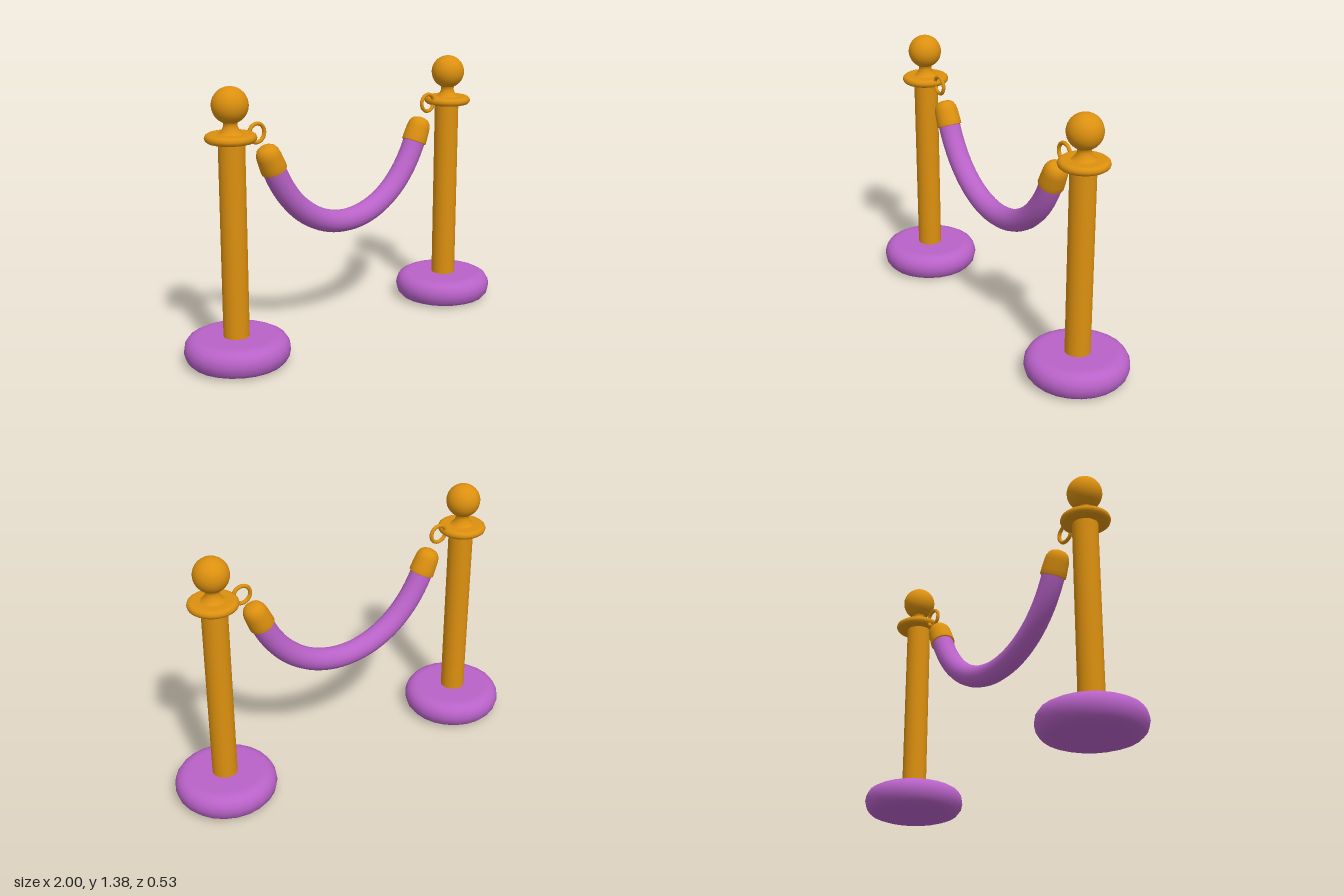
import * as THREE from 'three';

const gold = new THREE.MeshStandardMaterial({ name: 'gold', color: 0xdc900f });
const purple = new THREE.MeshStandardMaterial({ name: 'purple velvet', color: 0xb962c8 });

// Surface of revolution from [radius, height] pairs, bottom to top
const lathe = (pairs, sides) =>
  new THREE.LatheGeometry(pairs.map(([r, y]) => new THREE.Vector2(r, y)), sides);

function part(parent, name, geometry, material, x = 0, y = 0) {
  const mesh = new THREE.Mesh(geometry, material);
  mesh.name = name;
  mesh.position.set(x, y, 0);
  parent.add(mesh);
  return mesh;
}

export function createModel() {
  const model = new THREE.Group();
  model.name = 'ropeBarrier';

  // Rounded foot with flat top and bottom
  const baseGeo = lathe([
    [0, 0], [0.19, 0], [0.21, 0.002], [0.238, 0.013], [0.257, 0.036], [0.265, 0.07],
    [0.26, 0.1], [0.245, 0.124], [0.222, 0.137], [0.2, 0.141], [0.18, 0.142], [0, 0.142],
  ], 24);
  const postGeo = new THREE.CylinderGeometry(0.065, 0.065, 1.0, 24, 1, true);
  // Rounded disc below the finial
  const collarGeo = lathe([
    [0, 1.116], [0.1, 1.116], [0.113, 1.118], [0.122, 1.125], [0.126, 1.137],
    [0.122, 1.149], [0.113, 1.156], [0.1, 1.158], [0, 1.158],
  ], 28);
  // Flared neck under the ball
  const neckGeo = lathe([
    [0.068, 1.154], [0.053, 1.163], [0.041, 1.178], [0.034, 1.195], [0.035, 1.21], [0.045, 1.225],
  ], 24);
  const ballGeo = new THREE.SphereGeometry(0.089, 28, 18);
  const ringGeo = new THREE.TorusGeometry(0.046, 0.01, 10, 24);
  // Tapered, round-nosed rope end
  const capGeo = lathe([
    [0, 0], [0.063, 0], [0.067, 0.003], [0.066, 0.03], [0.063, 0.08], [0.059, 0.103],
    [0.049, 0.122], [0.035, 0.133], [0.018, 0.138], [0, 0.139],
  ], 20);

  for (const side of [-1, 1]) {
    const stanchion = new THREE.Group();
    stanchion.name = side > 0 ? 'leftStanchion' : 'rightStanchion';
    const x = side * 0.743;
    part(stanchion, 'base', baseGeo, purple, side * 0.735);
    part(stanchion, 'post', postGeo, gold, side * 0.739, 0.625);
    part(stanchion, 'collar', collarGeo, gold, x);
    part(stanchion, 'neck', neckGeo, gold, x);
    part(stanchion, 'ballFinial', ballGeo, gold, x, 1.293);
    part(stanchion, 'ring', ringGeo, gold, side * 0.588, 1.138);
    model.add(stanchion);

    const cap = part(model, side > 0 ? 'leftRopeCap' : 'rightRopeCap', capGeo, gold, side * 0.484, 0.937);
    cap.rotation.z = -side * 0.42;
  }

  // Hanging rope, steepening toward its ends
  const sag = new THREE.CubicBezierCurve3(
    new THREE.Vector3(-0.488, 0.945, 0), new THREE.Vector3(-0.285, 0.475, 0),
    new THREE.Vector3(0.285, 0.475, 0), new THREE.Vector3(0.488, 0.945, 0));
  part(model, 'rope', new THREE.TubeGeometry(sag, 40, 0.059, 18, false), purple);

  return model;
}
